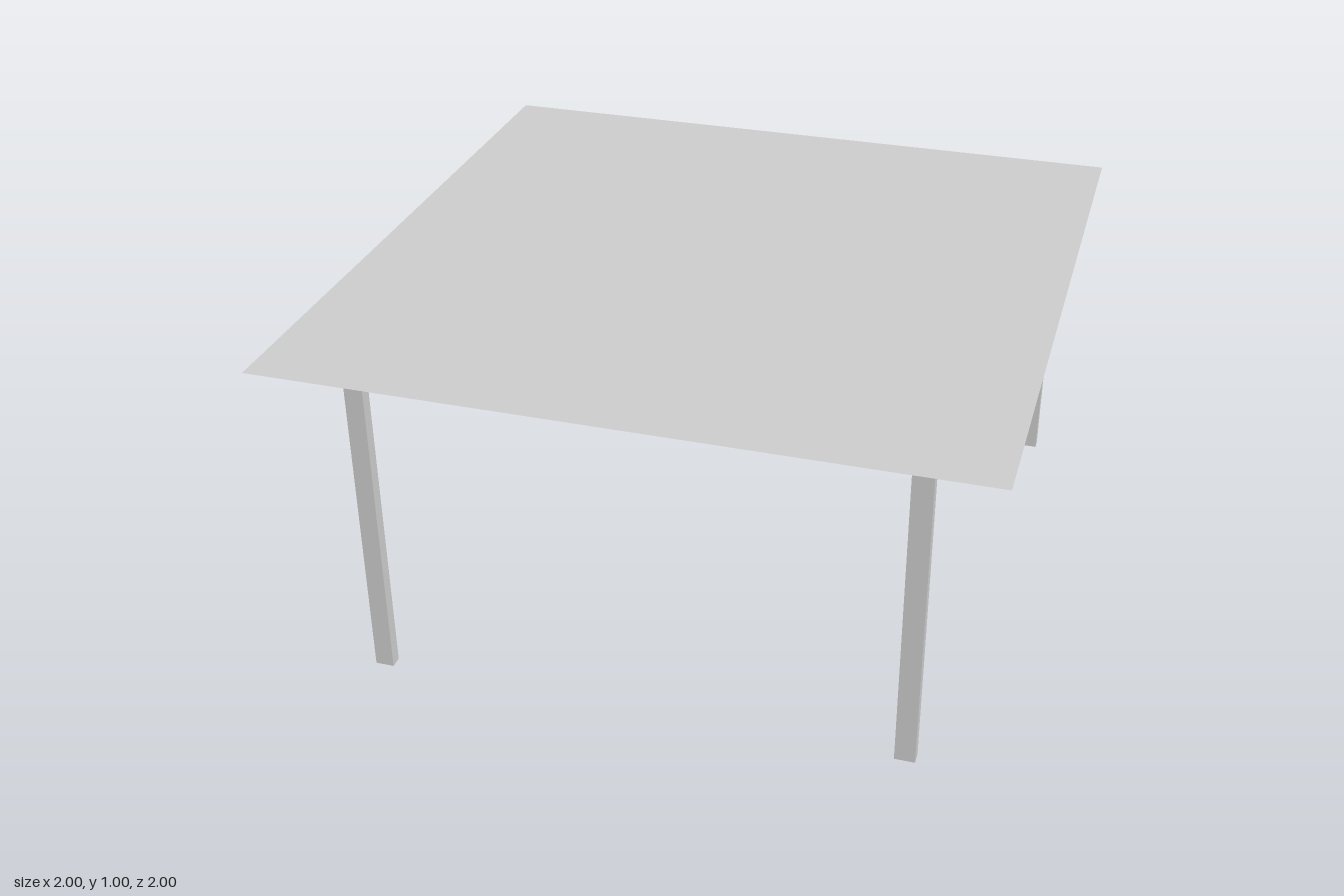
import * as THREE from 'three';

const material = new THREE.MeshStandardMaterial({ color: 0xcccccc, flatShading: true });

// Square slab whose underside tapers to a smaller, slightly off-centre square
function tabletopGeometry() {
  const height = 0.107;
  const geometry = new THREE.BoxGeometry(2, height, 2);
  geometry.translate(0, 1 - height / 2, 0);
  const p = geometry.attributes.position;
  for (let i = 0; i < p.count; i++) {
    if (p.getY(i) < 0.95) {
      p.setX(i, p.getX(i) < 0 ? -0.495 : 0.468);
      p.setZ(i, p.getZ(i) < 0 ? -0.478 : 0.5);
    }
  }
  geometry.computeVertexNormals();
  return geometry;
}

export function createModel() {
  const group = new THREE.Group();
  group.name = 'table';

  const top = new THREE.Mesh(tabletopGeometry(), material);
  top.name = 'tabletop';
  group.add(top);

  // Rectangular legs, each set slightly unevenly: x, z, width, bottom, top
  const legs = {
    frontRightLeg: [-0.751, 0.865, 0.054, 0.01, 0.97],
    frontLeftLeg: [0.77, 0.841, 0.058, 0, 0.965],
    backRightLeg: [-0.842, -0.93, 0.049, 0.007, 0.97],
    backLeftLeg: [0.868, -0.849, 0.051, 0.018, 0.973],
  };
  for (const [name, [x, z, width, bottom, topY]] of Object.entries(legs)) {
    const leg = new THREE.Mesh(new THREE.BoxGeometry(width, topY - bottom, 0.035), material);
    leg.position.set(x, (bottom + topY) / 2, z);
    leg.name = name;
    group.add(leg);
  }
  return group;
}
